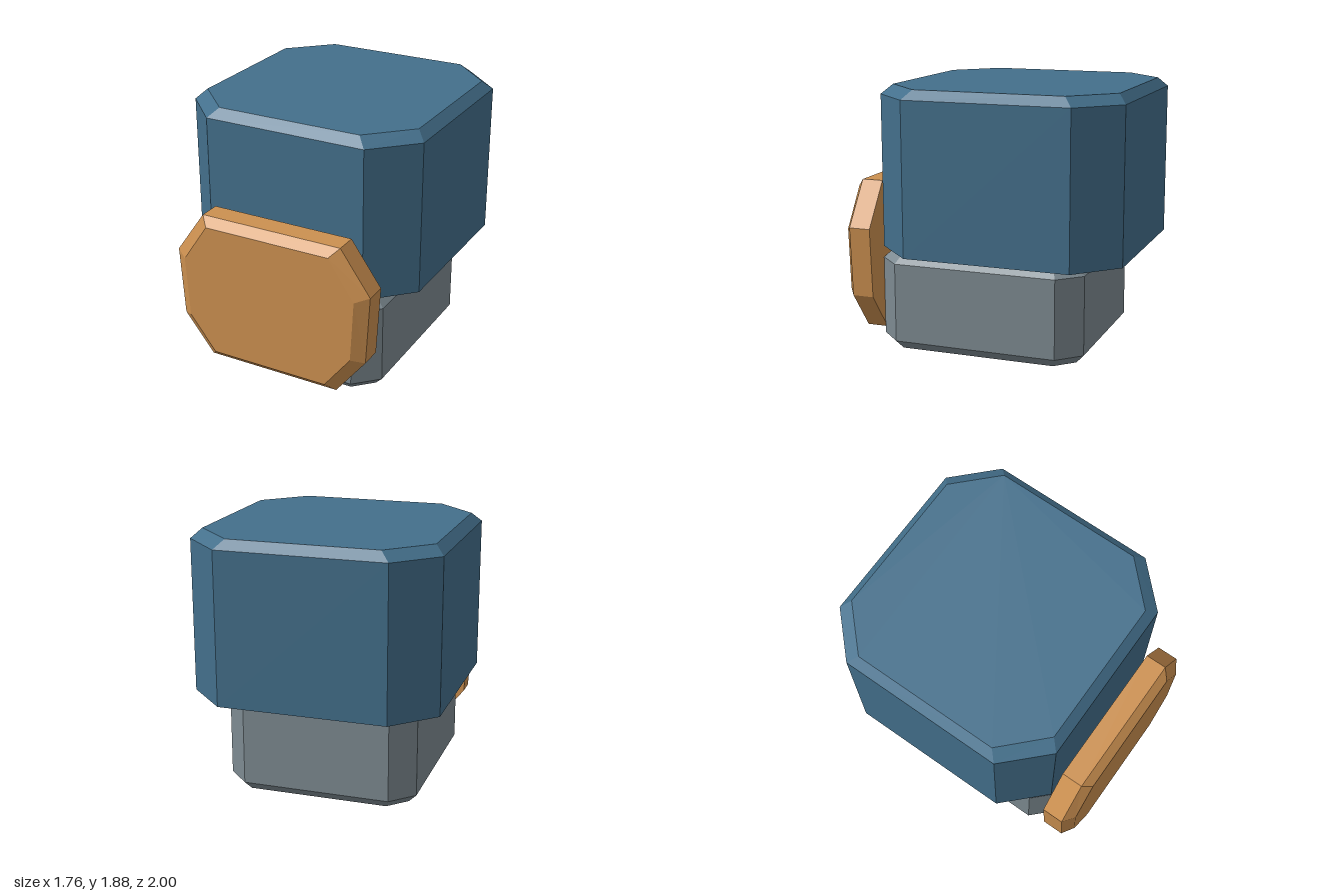
import * as THREE from 'three';

// Eight-sided ring in the xz plane: half width hx / corner cx, back and front z / corner z
function octagon(hx, cx, zBack, czBack, czFront, zFront, y) {
  return [
    [hx, czBack], [hx, czFront], [cx, zFront], [-cx, zFront],
    [-hx, czFront], [-hx, czBack], [-cx, zBack], [cx, zBack],
  ].map(([x, z]) => new THREE.Vector3(x, y, z));
}

// Faceted skin through a stack of rings, capped at both ends
function loft(rings) {
  const pos = [];
  const tri = (a, b, c) => [a, b, c].forEach((p) => pos.push(p.x, p.y, p.z));
  const n = rings[0].length;
  for (let r = 0; r < rings.length - 1; r++) {
    const lo = rings[r], hi = rings[r + 1];
    for (let i = 0; i < n; i++) {
      const j = (i + 1) % n;
      tri(lo[i], hi[i], lo[j]);
      tri(lo[j], hi[i], hi[j]);
    }
  }
  const first = rings[0], last = rings[rings.length - 1];
  for (let i = 1; i < n - 1; i++) {
    tri(first[0], first[i], first[i + 1]);
    tri(last[0], last[i + 1], last[i]);
  }
  const geo = new THREE.BufferGeometry();
  geo.setAttribute('position', new THREE.Float32BufferAttribute(pos, 3));
  geo.computeVertexNormals();
  return geo;
}

function material(name, color) {
  const m = new THREE.MeshStandardMaterial({ color });
  m.name = name;
  return m;
}

export function createModel() {
  const group = new THREE.Group();
  group.name = 'model';
  const blue = material('slate blue', 0x436f8b);
  const gray = material('steel gray', 0x7d8a91);
  const orange = material('amber', 0xcc9050);

  const add = (name, geo, mat) => {
    const mesh = new THREE.Mesh(geo, mat);
    mesh.name = name;
    group.add(mesh);
  };

  // Base block, bevelled at top and bottom
  const bodyRing = (inset, y) => octagon(0.69 - inset, 0.53 - inset * 0.5,
    -0.72 + inset, -0.56 + inset * 0.5, 0.625 - inset * 0.5, 0.785 - inset, y);
  add('base', loft([bodyRing(0.06, 0), bodyRing(0, 0.065), bodyRing(0, 0.63), bodyRing(0.06, 0.69)]), gray);

  // Neck rising into the cap
  const neckRing = (y) => octagon(0.595, 0.44, -0.65, -0.5, 0.41, 0.56, y);
  add('neck', loft([neckRing(0.67), neckRing(1.74)]), gray);

  // Hollow cap: ceiling, inner wall, rim, outer wall, bevel, top
  const innerRing = (y) => octagon(0.74, 0.53, -0.86, -0.66, 0.405, 0.61, y);
  add('cap', loft([
    innerRing(1.74),
    innerRing(0.73),
    octagon(0.88, 0.595, -1, -0.72, 0.465, 0.75, 0.73),
    octagon(0.88, 0.595, -1, -0.72, 0.465, 0.75, 1.815),
    octagon(0.815, 0.53, -0.94, -0.66, 0.405, 0.685, 1.88),
  ]), blue);

  // Front plate, lofted upward and then turned to face +z
  const plateRing = (half, z) => {
    const pts = half.map(([x, y]) => new THREE.Vector3(x, z, -y));
    return [...pts, ...half.slice().reverse().map(([x, y]) => new THREE.Vector3(-x, z, -y))];
  };
  const outer = [[0.53, 1.19], [0.75, 0.88], [0.72, 0.38], [0.5, 0.1]];
  const inner = [[0.47, 1.13], [0.66, 0.85], [0.635, 0.41], [0.44, 0.16]];
  const plate = loft([plateRing(outer, 0.785), plateRing(outer, 0.94), plateRing(inner, 1)]);
  plate.rotateX(Math.PI / 2);
  add('frontPlate', plate, orange);

  return group;
}
